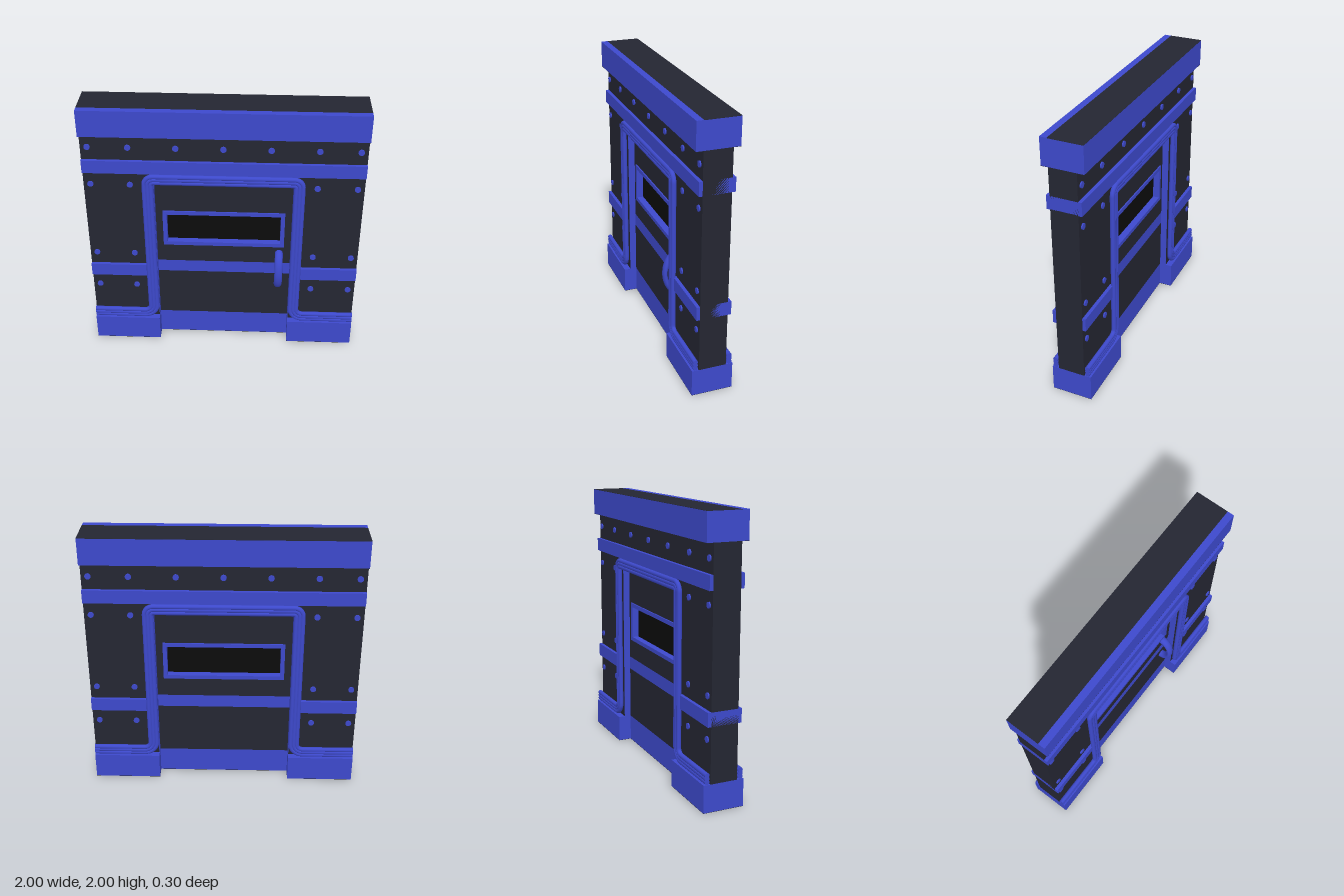
import * as THREE from 'three';

const blue = new THREE.MeshStandardMaterial({ color: 0x3d49cc });
const dark = new THREE.MeshStandardMaterial({ color: 0x242632 });
const glass = new THREE.MeshStandardMaterial({ color: 0x0c0c0c });

export function createModel() {
  const root = new THREE.Group();

  const add = (name, geometry, material, parent = root) => {
    const mesh = new THREE.Mesh(geometry, material);
    mesh.name = name;
    parent.add(mesh);
    return mesh;
  };

  // Box between x0..x1 and y0..y1, from z0 to z1 (symmetric by default)
  const box = (name, x0, x1, y0, y1, z1, material, z0 = -z1) => {
    const mesh = add(name, new THREE.BoxGeometry(x1 - x0, y1 - y0, z1 - z0), material);
    mesh.position.set((x0 + x1) / 2, (y0 + y1) / 2, (z0 + z1) / 2);
    return mesh;
  };
  const mirrored = (name, x0, x1, ...rest) => {
    box(name + 'Left', x0, x1, ...rest);
    box(name + 'Right', -x1, -x0, ...rest);
  };

  // Wall with a doorway
  mirrored('wall', 0.504, 1, 0.2, 1.504, 0.1, dark);
  box('lintel', -1, 1, 1.504, 1.8, 0.1, dark);
  mirrored('doorJamb', 0.5, 0.504, 0.2, 1.504, 0.1, blue);
  box('doorHeader', -0.5, 0.5, 1.5, 1.504, 0.1, blue);

  // Trim: top cap, bands and plinths
  box('topCap', -1, 1, 1.802, 1.998, 0.15, blue);
  box('capTopFace', -1, 1, 1.998, 2, 0.1, dark, -0.15);
  box('capTopEdge', -1, 1, 1.998, 2, 0.15, blue, 0.1);
  box('capUnderside', -1, 1, 1.8, 1.802, 0.15, dark);
  box('upperBand', -1, 1, 1.5, 1.6, 0.125, blue);
  mirrored('lowerBand', 0.56, 1, 0.6, 0.7, 0.125, blue);
  mirrored('plinth', 0.5, 1, 0.002, 0.2, 0.15, blue);
  mirrored('plinthUnderside', 0.5, 1, 0, 0.002, 0.15, dark);

  // Door: stacked strips around the window opening
  box('doorUnderside', -0.5, 0.5, 0, 0.002, 0.05, dark);
  box('doorKickPlate', -0.5, 0.5, 0.002, 0.2, 0.05, blue);
  box('doorLowerPanel', -0.5, 0.5, 0.2, 0.6, 0.05, dark);
  box('doorBand', -0.5, 0.5, 0.6, 0.7, 0.05, blue);
  box('doorMiddlePanel', -0.5, 0.5, 0.7, 0.87, 0.05, dark);
  box('doorUpperPanel', -0.5, 0.5, 1.13, 1.5, 0.05, dark);
  mirrored('doorStile', 0.43, 0.5, 0.87, 1.13, 0.05, dark);

  // Window frame and pane
  const rect = (target, w, h) => target.moveTo(-w, -h).lineTo(w, -h).lineTo(w, h).lineTo(-w, h).closePath();
  const frameShape = rect(new THREE.Shape(), 0.45, 0.15);
  frameShape.holes.push(rect(new THREE.Path(), 0.42, 0.12));
  const frame = add('windowFrame', new THREE.ExtrudeGeometry(frameShape, { depth: 0.12, bevelEnabled: false }), blue);
  frame.position.set(0, 1, -0.06);
  box('windowPane', -0.42, 0.42, 0.88, 1.12, 0.01, glass);

  // Door handle: a half ring on the front
  const handle = add('doorHandle', new THREE.TorusGeometry(0.14, 0.03, 12, 24, Math.PI), blue);
  handle.rotation.set(0, Math.PI / 2, Math.PI / 2, 'YXZ');
  handle.rotation.set(0, -Math.PI / 2, Math.PI / 2);
  handle.geometry.rotateZ(-Math.PI / 2); // arc bulges along +x
  handle.geometry.rotateY(-Math.PI / 2); // then along +z
  handle.geometry.scale(1, 1, 0.59);
  handle.rotation.set(0, 0, 0);
  handle.position.set(0.415, 0.65, 0.05);

  // Pipe route at offset d from the middle pipe, with rounded corners
  const pipePath = (d) => {
    const x = 0.54 + d, top = 1.458 + d, low = 0.243 + d;
    const rTop = 0.04 + d, rLow = 0.07 - d;
    const points = [];
    const arc = (cx, cy, r, a0, a1) => {
      for (let i = 0; i <= 8; i++) {
        const a = (a0 + (a1 - a0) * i / 8) * Math.PI / 180;
        points.push(new THREE.Vector3(cx + r * Math.cos(a), cy + r * Math.sin(a), 0));
      }
    };
    points.push(new THREE.Vector3(-1, low, 0));
    arc(-x - rLow, low + rLow, rLow, -90, 0);
    arc(-x + rTop, top - rTop, rTop, 180, 90);
    arc(x - rTop, top - rTop, rTop, 90, 0);
    arc(x + rLow, low + rLow, rLow, 180, 270);
    points.push(new THREE.Vector3(1, low, 0));
    const path = new THREE.CurvePath();
    for (let i = 1; i < points.length; i++) path.add(new THREE.LineCurve3(points[i - 1], points[i]));
    // Even sampling keeps the corners smooth
    return path;
  };

  // Pipes and rivets on both faces
  const rivetGeometry = new THREE.CylinderGeometry(0.022, 0.022, 0.016, 16).rotateX(Math.PI / 2);
  const capGeometry = new THREE.CircleGeometry(0.018, 10).rotateY(Math.PI / 2);
  for (const side of [1, -1]) {
    const face = new THREE.Group();
    face.name = side > 0 ? 'frontFittings' : 'backFittings';
    root.add(face);

    for (const d of [-0.024, 0, 0.024]) {
      const pipe = add('pipe', new THREE.TubeGeometry(pipePath(d), 400, 0.018, 10), blue, face);
      pipe.position.z = side * 0.125;
      for (const end of [1, -1]) {
        const cap = add('pipeEnd', capGeometry, blue, face);
        cap.position.set(end, 0.243 + d, side * 0.125);
        if (end < 0) cap.rotation.y = Math.PI;
      }
    }

    const rivet = (x, y) => add('rivet', rivetGeometry, blue, face).position.set(x, y, side * 0.102);
    for (const x of [-0.95, -0.667, -0.333, 0, 0.333, 0.667, 0.95]) rivet(x, 1.7);
    for (const y of [0.5, 0.8, 1.4]) for (const x of [-0.95, -0.667, 0.667, 0.95]) rivet(x, y);
  }

  return root;
}
